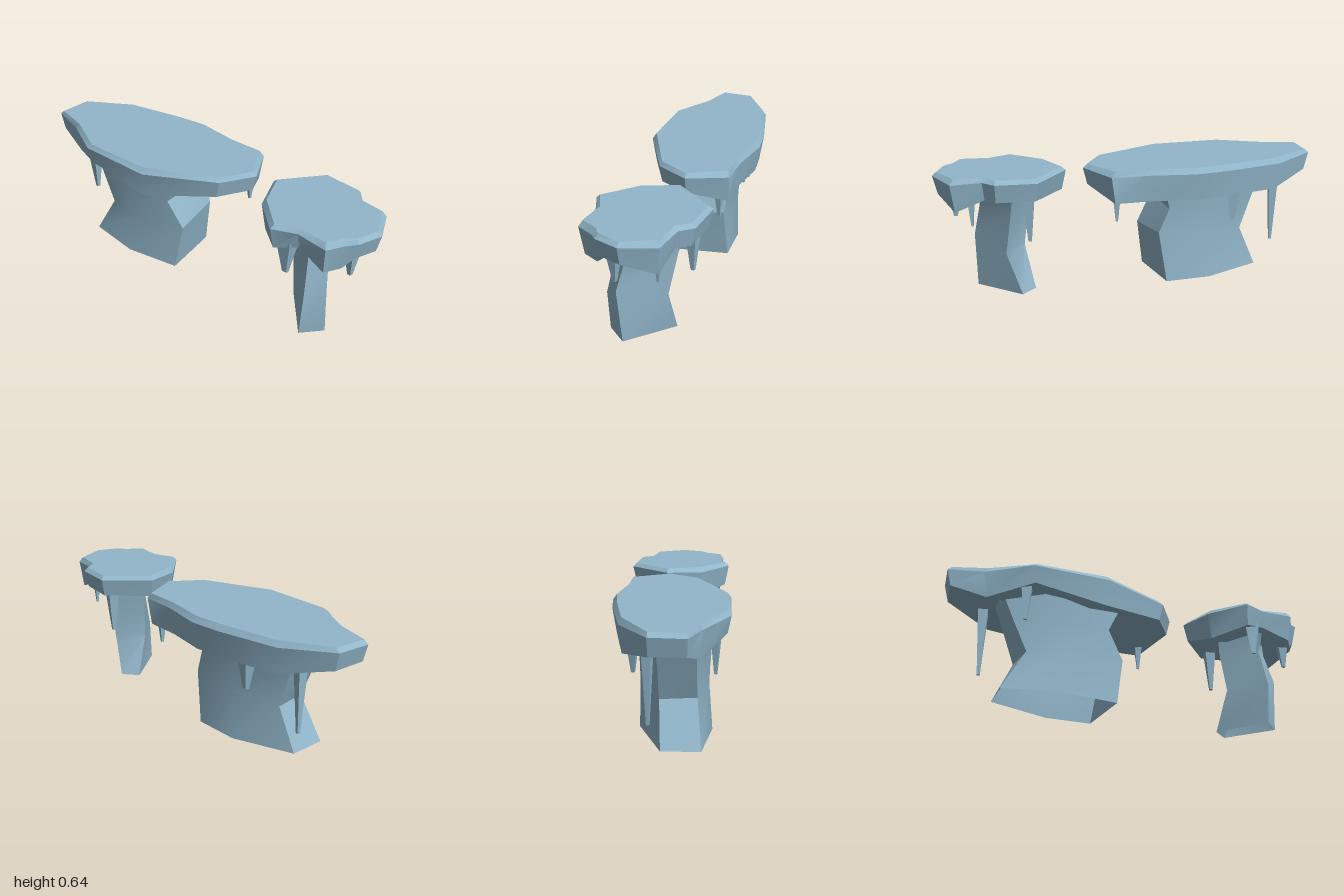
import * as THREE from 'three';
import { toCreasedNormals } from 'three/addons/utils/BufferGeometryUtils.js';

const ice = new THREE.MeshStandardMaterial({ color: 0x91b6ca, side: THREE.DoubleSide });
ice.name = 'pale blue ice';

// Skin closed rings of [x, y, z] points (bottom to top, clockwise from above);
// optional points close the bottom and the top with a fan
function loft(rings, bottom, top) {
  const n = rings[0].length;
  const pos = [];
  const tri = (a, b, c) => pos.push(...a, ...b, ...c);
  const last = rings[rings.length - 1];
  for (let i = 0; i < n; i++) {
    const j = (i + 1) % n;
    for (let r = 0; r < rings.length - 1; r++) {
      const lo = rings[r], hi = rings[r + 1];
      tri(lo[j], lo[i], hi[i]);
      tri(lo[j], hi[i], hi[j]);
    }
    if (bottom) tri(rings[0][i], rings[0][j], bottom);
    if (top) tri(last[j], last[i], top);
  }
  const g = new THREE.BufferGeometry();
  g.setAttribute('position', new THREE.Float32BufferAttribute(pos, 3));
  return toCreasedNormals(g, 0.5);
}

function part(name, geometry) {
  const m = new THREE.Mesh(geometry, ice);
  m.name = name;
  return m;
}

// Slab with a bevelled top; outline points are [x, z, height of the underside]
function slab(name, outline, cx, cz) {
  const ring = (inset, height) => outline.map(([x, z, low]) => {
    const k = 1 - inset / Math.hypot(x - cx, z - cz);
    return [cx + (x - cx) * k, height(low), cz + (z - cz) * k];
  });
  const rings = [ring(0.022, low => low), ring(0, low => (low > 0.5 ? 0.622 : 0.612)), ring(0.022, () => 0.641)];
  return part(name, loft(rings, [cx, 0.53, cz], [cx, 0.641, cz]));
}

// Blunt four-sided spike hanging from y = top down to y = tip
function icicle([x, z, tip, w, d, top]) {
  const ring = (y, k) => [[-1, 0.5], [-0.5, -1], [1, -0.5], [0.5, 1]]
    .map(([sx, sz]) => [x + sx * w * k / 2, y, z + sz * d * k / 2]);
  return part('icicle', loft([ring(tip, 0.28), ring(top, 1)], [x, tip, z]));
}

export function createModel() {
  const model = new THREE.Group();
  model.name = 'icePlatforms';

  // Large platform, its column open at the foot
  const large = new THREE.Group();
  large.name = 'largePlatform';
  large.add(slab('largeSlab', [
    [-1, 0, 0.535], [-0.97, -0.17, 0.53], [-0.72, -0.29, 0.475], [-0.4, -0.325, 0.475],
    [-0.23, -0.325, 0.475], [0, -0.26, 0.475], [0.185, -0.235, 0.475], [0.265, -0.03, 0.535],
    [0.145, 0.125, 0.53], [-0.23, 0.26, 0.475], [-0.62, 0.22, 0.535], [-0.83, 0.07, 0.475],
  ], -0.37, -0.03));
  large.add(part('largeColumn', loft([
    [[-0.13, 0, 0.14], [-0.43, 0, 0.155], [-0.715, 0, 0.08], [-0.7, 0, -0.11], [-0.38, 0, -0.2], [-0.14, 0, -0.18]],
    [[-0.09, 0.25, 0.115], [-0.4, 0.23, 0.14], [-0.59, 0.22, 0.07], [-0.6, 0.22, -0.11], [-0.37, 0.25, -0.195], [-0.1, 0.27, -0.16]],
    [[-0.175, 0.4, 0.13], [-0.42, 0.4, 0.145], [-0.67, 0.4, 0.06], [-0.66, 0.4, -0.12], [-0.39, 0.4, -0.2], [-0.15, 0.4, -0.18]],
    [[-0.11, 0.54, 0.13], [-0.43, 0.54, 0.15], [-0.73, 0.54, 0.055], [-0.71, 0.54, -0.13], [-0.4, 0.54, -0.21], [-0.11, 0.54, -0.2]],
  ])));

  // Small platform, its column open at the foot
  const small = new THREE.Group();
  small.name = 'smallPlatform';
  small.add(slab('smallSlab', [
    [0.358, -0.04, 0.525], [0.555, -0.23, 0.53], [0.755, -0.19, 0.53], [0.8, -0.12, 0.53],
    [0.945, -0.075, 0.472], [0.998, 0.095, 0.53], [0.94, 0.21, 0.53], [0.89, 0.24, 0.472],
    [0.83, 0.32, 0.472], [0.675, 0.29, 0.535], [0.55, 0.325, 0.51], [0.405, 0.155, 0.472],
  ], 0.68, 0.05));
  small.add(part('smallColumn', loft([
    [[0.79, 0, 0.152], [0.69, 0, 0.24], [0.525, 0, -0.01], [0.61, 0, -0.07]],
    [[0.79, 0.27, 0.175], [0.705, 0.21, 0.245], [0.555, 0.22, 0.07], [0.68, 0.22, -0.045]],
    [[0.765, 0.44, 0.13], [0.69, 0.43, 0.195], [0.53, 0.44, 0.05], [0.66, 0.44, -0.09]],
    [[0.78, 0.54, 0.1], [0.7, 0.54, 0.23], [0.52, 0.54, 0.06], [0.66, 0.54, -0.13]],
  ])));

  // Icicles: x, z, tip height, width, depth, top height
  for (const s of [
    [-0.76, -0.165, 0.155, 0.065, 0.06, 0.52], [-0.63, 0.15, 0.35, 0.075, 0.06, 0.56],
    [0.14, -0.18, 0.37, 0.055, 0.055, 0.53], [-0.49, -0.23, 0.32, 0.11, 0.075, 0.52],
  ]) large.add(icicle(s));
  for (const s of [
    [0.61, 0.267, 0.367, 0.11, 0.045, 0.55], [0.84, -0.04, 0.385, 0.045, 0.045, 0.54],
    [0.885, 0.145, 0.39, 0.08, 0.07, 0.55], [0.58, -0.14, 0.308, 0.075, 0.08, 0.55],
  ]) small.add(icicle(s));

  model.add(large, small);
  return model;
}
